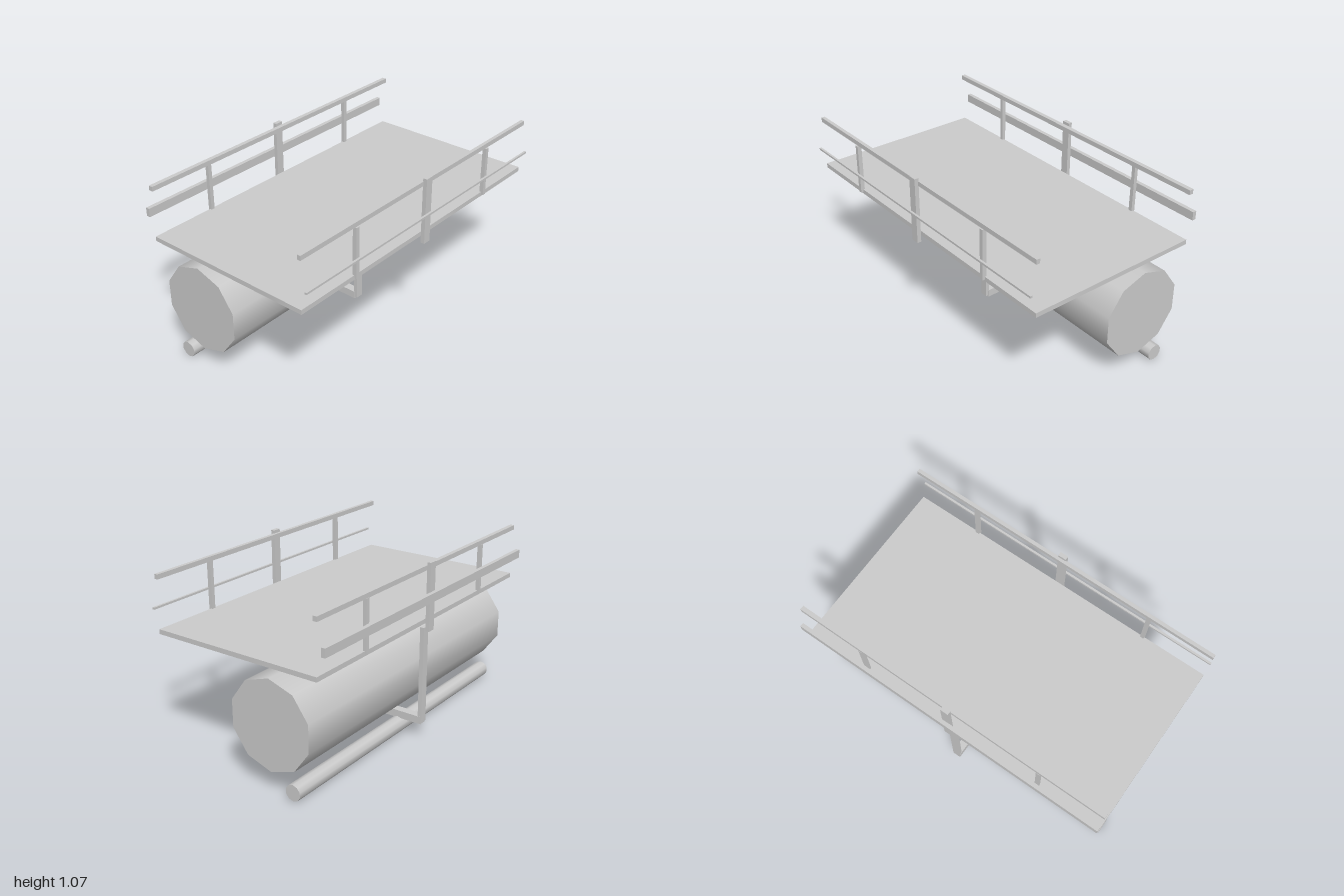
import * as THREE from 'three';

const material = new THREE.MeshStandardMaterial({ color: 0xcccccc });

export function createModel() {
  const model = new THREE.Group();

  const add = (name, geometry, x, y, z) => {
    const mesh = new THREE.Mesh(geometry, material);
    mesh.name = name;
    mesh.position.set(x, y, z);
    model.add(mesh);
  };

  // Box given by its centre and width in x, and its limits in y and z
  const bar = (name, x, width, y0, y1, z0, z1) =>
    add(name, new THREE.BoxGeometry(width, y1 - y0, z1 - z0), x, (y0 + y1) / 2, (z0 + z1) / 2);

  // Ten-sided cylinder lying along x, with a corner at the top
  const drum = (name, radius, y, z) => {
    const geometry = new THREE.CylinderGeometry(radius, radius, 1.985, 10, 1, false, Math.PI / 2);
    add(name, geometry.rotateZ(Math.PI / 2), 0.0075, y, z);
  };

  // Deck
  bar('deck', 0, 1.998, 0.717, 0.745, -0.53, 0.545);

  // Front railing
  bar('frontTopRail', 0, 2, 1.03, 1.058, 0.528, 0.55);
  bar('frontThinRail', 0, 2, 0.851, 0.863, 0.571, 0.584);
  bar('frontCentrePost', 0, 0.05, 0.675, 1.076, 0.546, 0.571);

  // Back railing
  bar('backTopRail', 0, 2, 1.03, 1.058, -0.537, -0.511);
  bar('backWideRail', 0, 2, 0.856, 0.907, -0.584, -0.56);
  bar('backCentrePost', 0, 0.05, 0.675, 1.076, -0.561, -0.537);

  // Slim posts on both sides
  for (const x of [-0.586, 0.586]) {
    bar('frontSlimPost', x, 0.023, 0.727, 1.03, 0.534, 0.559);
    bar('backSlimPost', x, 0.023, 0.727, 1.03, -0.539, -0.516);
  }

  // Hanger cradling the tank
  bar('frontHanger', 0, 0.046, 0.1, 0.69, 0.067, 0.092);
  bar('backHanger', 0, 0.046, 0.1, 0.69, -0.527, -0.502);
  bar('hangerCrossbar', 0, 0.05, 0.09, 0.136, -0.522, 0.075);

  // Tank and the pipe below it
  drum('tank', 0.266, 0.392, -0.221);
  drum('pipe', 0.048, 0.049, -0.365);

  return model;
}
